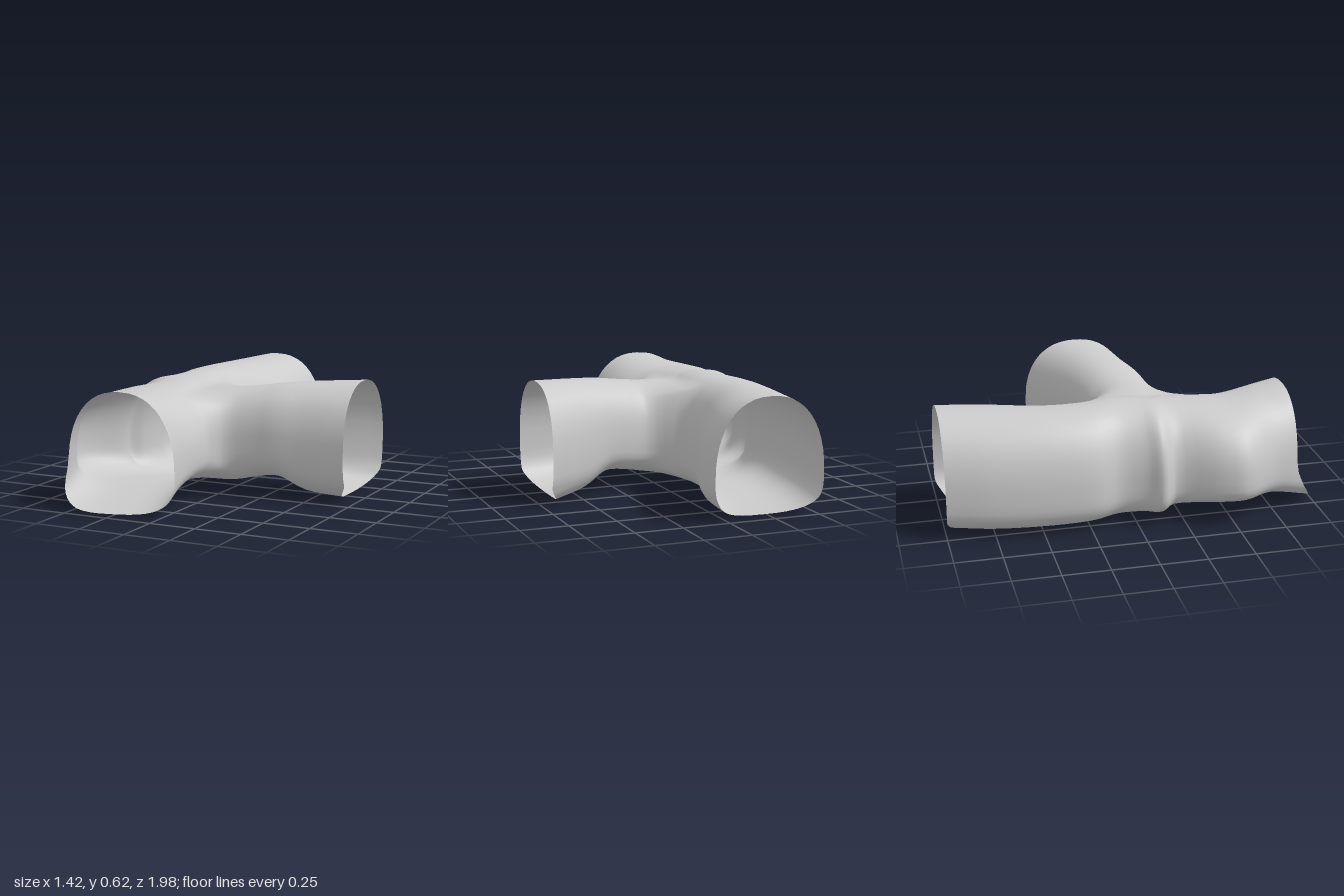
import * as THREE from 'three';

const COLS = 48;   // points around the main passage
const STEPS = 4;   // rows between neighbouring sections
const HALF = 8;    // half height of the side opening, in columns

// Arch-like oval: rounder above, squarer below. Returns [across, height].
function arch(angle, left, right, bottom, top, waist = 0.33) {
  const c = Math.cos(angle), s = Math.sin(angle);
  const e = 2 / (s > 0 ? 2.3 : 3);
  const mid = bottom + (top - bottom) * waist;
  const u = (left + right) / 2 + (right - left) / 2 * Math.sign(c) * Math.abs(c) ** e;
  const y = mid + Math.sign(s) * Math.abs(s) ** e * (s > 0 ? top - mid : mid - bottom);
  return [u, y];
}

// 1 on the floor, fading to 0 at the given height
const floorWeight = (y, height) => Math.max(0, 1 - y / height) ** 1.5;

// Smooth rows through a list of rings
function loft(rings) {
  const count = (rings.length - 1) * STEPS;
  const curves = rings[0].map((_, j) =>
    new THREE.CatmullRomCurve3(rings.map(r => r[j]), false, 'centripetal'));
  return Array.from({ length: count + 1 }, (_, i) => curves.map(c => c.getPoint(i / count)));
}

export function createModel() {
  const points = [], faces = [];
  const quad = (a, b, c, d) => faces.push(a, b, c, b, d, c);

  // Main passage sections: z, left x, right x, floor, roof
  const mainSections = [
    [-1, -0.52, 0.08, 0.01, 0.62],
    [-0.75, -0.575, 0.05, 0.005, 0.615],
    [-0.45, -0.605, -0.045, 0.01, 0.61],
    [-0.23, -0.6, -0.05, 0.015, 0.61],
    [-0.09, -0.555, -0.03, 0.02, 0.615],
    [0.04, -0.585, -0.02, 0.03, 0.61],
    [0.12, -0.64, -0.02, 0.04, 0.605],
    [0.2, -0.585, -0.01, 0.055, 0.595],
    [0.41, -0.685, 0.02, 0.085, 0.585],
    [0.55, -0.71, 0.035, 0.09, 0.58],
    [0.74, -0.585, 0.055, 0.065, 0.6],
    [0.87, -0.55, 0.07, 0.01, 0.62],
  ];
  const last = mainSections.length - 1;
  const mainRings = mainSections.map(([z, ...size], i) =>
    Array.from({ length: COLS }, (_, j) => {
      const [x, y] = arch(j / COLS * Math.PI * 2, ...size);
      let dz = 0;
      if (i === 0) dz = 0.08 * floorWeight(y, 0.1);
      // floor lip at the front mouth
      if (i === last) dz = 0.135 * floorWeight(y, 0.26) * THREE.MathUtils.clamp((0.07 - x) / 0.5, 0, 1);
      return new THREE.Vector3(x, y, z + dz);
    }));
  const mainRows = loft(mainRings);
  mainRows.forEach(row => points.push(...row));
  const at = (r, j) => r * COLS + (j + COLS) % COLS;

  // Skin of the main passage, leaving out the side opening
  const r0 = 3 * STEPS, r1 = 8 * STEPS;
  for (let r = 0; r < mainRows.length - 1; r++) {
    for (let j = -COLS / 2; j < COLS / 2; j++) {
      const open = r >= r0 && r < r1 && j >= -HALF && j < HALF;
      if (!open) quad(at(r, j), at(r, j + 1), at(r + 1, j), at(r + 1, j + 1));
    }
  }

  // Rim of the side opening: roof, front, floor, back
  const rim = [];
  for (let r = r0; r < r1; r++) rim.push(at(r, HALF));
  for (let j = HALF; j > -HALF; j--) rim.push(at(r1, j));
  for (let r = r1; r > r0; r--) rim.push(at(r, -HALF));
  for (let j = -HALF; j < HALF; j++) rim.push(at(r0, j));
  const rimPoints = rim.map(k => points[k]);
  const angles = rimPoints.map(p => Math.atan2((p.y - 0.28) / 0.26, (p.z - 0.09) / 0.32));

  // Side branch sections: x, back z, front z, floor, roof
  const branchSections = [
    [0.07, -0.145, 0.325, 0.07, 0.57],
    [0.2, -0.16, 0.285, 0.095, 0.585],
    [0.32, -0.195, 0.27, 0.1, 0.6],
    [0.46, -0.255, 0.245, 0.03, 0.61],
    [0.705, -0.38, 0.22, 0, 0.62],
  ];
  const branchRings = branchSections.map(([x, ...size], i) => angles.map(a => {
    const [z, y] = arch(a, ...size, 0.42);
    const dx = i === branchSections.length - 1 ? 0.07 * floorWeight(y, 0.1) : 0;
    return new THREE.Vector3(x - dx, y, z);
  }));
  const branchRows = loft([rimPoints, ...branchRings]);

  // Skin of the branch, sharing the rim points
  let previous = rim;
  branchRows.slice(1).forEach(row => {
    const current = row.map(p => points.push(p) - 1);
    current.forEach((c, k) => {
      const n = (k + 1) % current.length;
      quad(previous[k], previous[n], c, current[n]);
    });
    previous = current;
  });

  const geometry = new THREE.BufferGeometry().setFromPoints(points);
  geometry.setIndex(faces);
  geometry.computeVertexNormals();
  const tunnel = new THREE.Mesh(geometry,
    new THREE.MeshStandardMaterial({ color: 0xcccccc, side: THREE.DoubleSide }));
  tunnel.name = 'branchingTunnel';

  const group = new THREE.Group();
  group.name = 'tunnelJunction';
  group.add(tunnel);
  return group;
}
